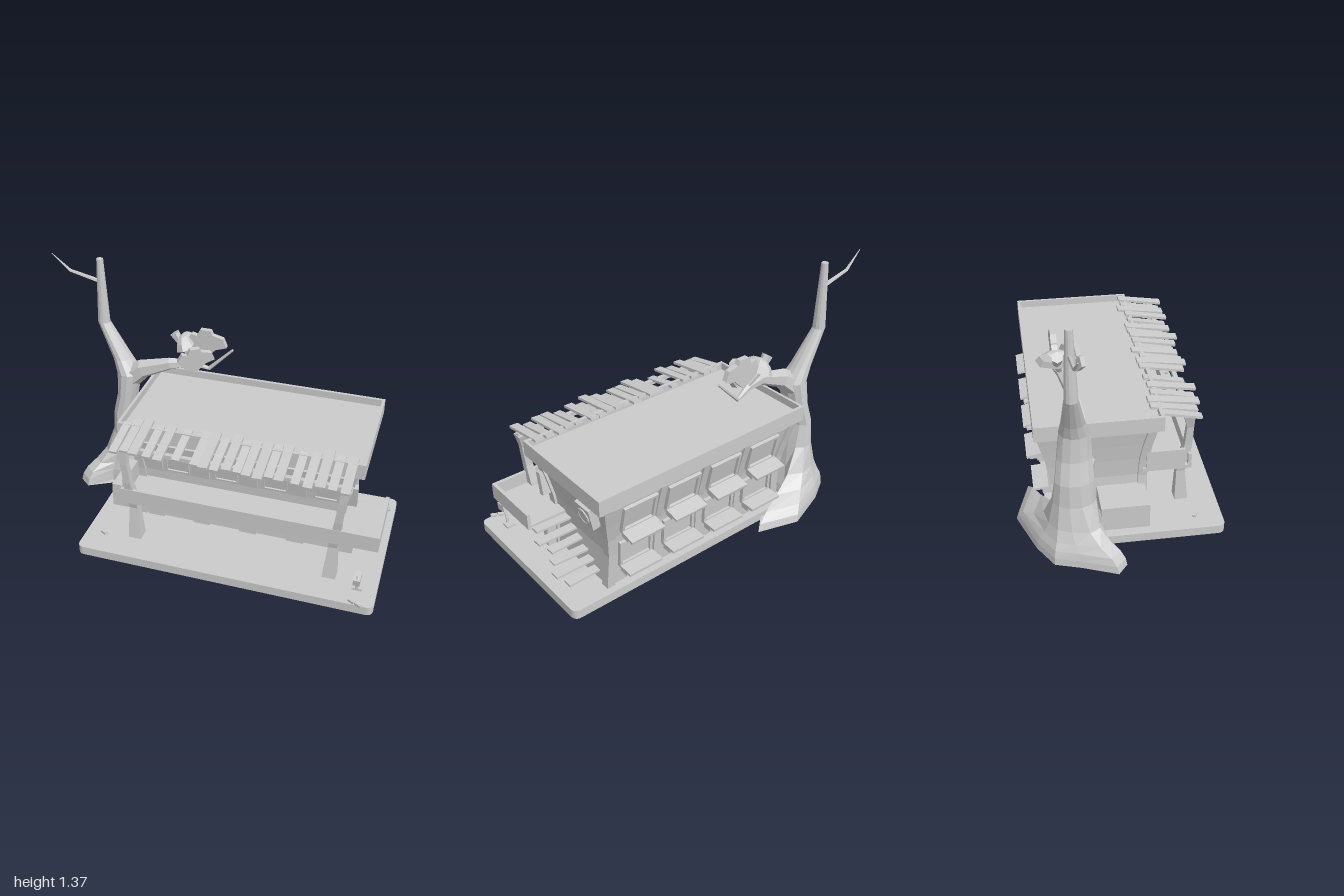
import * as THREE from 'three';

const mat = new THREE.MeshStandardMaterial({ color: 0xcccccc, flatShading: true, side: THREE.DoubleSide });

function add(parent, name, geo, pos = [0, 0, 0], rot = [0, 0, 0]) {
  const m = new THREE.Mesh(geo, mat);
  m.name = name;
  m.position.set(...pos);
  m.rotation.set(...rot);
  parent.add(m);
  return m;
}

// Box given by its min and max on each axis
function span(parent, name, x0, x1, y0, y1, z0, z1) {
  return add(parent, name, new THREE.BoxGeometry(x1 - x0, y1 - y0, z1 - z0),
    [(x0 + x1) / 2, (y0 + y1) / 2, (z0 + z1) / 2]);
}

// Capped skin over rings of equally many points
function loft(rings) {
  const n = rings[0].length, idx = [], last = (rings.length - 1) * n;
  for (let i = 0; i < rings.length - 1; i++)
    for (let j = 0; j < n; j++) {
      const a = i * n + j, b = i * n + (j + 1) % n;
      idx.push(a, a + n, b, b, a + n, b + n);
    }
  for (let j = 1; j < n - 1; j++) idx.push(0, j, j + 1, last, last + j + 1, last + j);
  const g = new THREE.BufferGeometry();
  g.setAttribute('position', new THREE.Float32BufferAttribute(rings.flat(2), 3));
  g.setIndex(idx);
  const flat = g.toNonIndexed();
  flat.computeVertexNormals();
  return flat;
}

// Tapered limb through points [x, y, z, radius]
function limb(pts, sides = 6) {
  const v = pts.map(p => new THREE.Vector3(p[0], p[1], p[2]));
  return loft(pts.map((p, i) => {
    const t = v[Math.min(i + 1, v.length - 1)].clone().sub(v[Math.max(i - 1, 0)]).normalize();
    const u = new THREE.Vector3(0, 0, 1).cross(t).normalize();
    const w = u.clone().cross(t);
    return Array.from({ length: sides }, (_, j) => {
      const a = j / sides * Math.PI * 2;
      return v[i].clone().addScaledVector(u, Math.cos(a) * p[3]).addScaledVector(w, Math.sin(a) * p[3]).toArray();
    });
  }));
}

const rect = (x0, x1, y, z0, z1) => [[x1, y, z0], [x1, y, z1], [x0, y, z1], [x0, y, z0]];

// Flared wall outline: y, x min, x max, z min, z max
const wall = [
  [0.05, -0.37, 0.765, -0.34, 0.14], [0.25, -0.36, 0.755, -0.352, 0.135],
  [0.36, -0.37, 0.765, -0.365, 0.14], [0.46, -0.385, 0.785, -0.388, 0.155], [0.6, -0.41, 0.815, -0.425, 0.185]];

function building() {
  const g = new THREE.Group();
  g.name = 'building';
  add(g, 'walls', loft(wall.map(([y, a, b, c, d]) => rect(a, b, y, c, d))));
  // Corner columns follow the flare
  for (const sx of [0, 1]) for (const sz of [0, 1])
    add(g, 'cornerColumn', loft(wall.map(([y, a, b, c, d]) => {
      const x = sx ? b - 0.01 : a + 0.01, z = sz ? d - 0.012 : c + 0.012;
      return rect(x - 0.024, x + 0.024, y, z - 0.024, z + 0.024);
    })));
  // Slim ribs between the back windows
  for (let i = 0; i < 3; i++) {
    const x = -0.07 + i * 0.271;
    add(g, 'backRib', loft(wall.map(([y, , , c]) => rect(x - 0.02, x + 0.02, y, c - 0.014, c + 0.01))));
  }
  // Roof deck with raised rim
  span(g, 'roofDeck', -0.455, 0.855, 0.59, 0.635, -0.435, 0.205);
  span(g, 'roofUnderside', -0.43, 0.83, 0.565, 0.59, -0.42, 0.185);
  span(g, 'parapet', -0.46, 0.86, 0.59, 0.675, 0.197, 0.215);
  span(g, 'parapet', -0.46, 0.86, 0.59, 0.675, -0.443, -0.425);
  span(g, 'parapet', -0.46, -0.445, 0.59, 0.675, -0.443, 0.215);
  span(g, 'parapet', 0.845, 0.86, 0.59, 0.675, -0.443, 0.215);
  // Round vent on the side wall
  const vent = new THREE.Group();
  vent.name = 'vent';
  vent.position.set(0.81, 0.487, -0.267);
  vent.rotation.z = -0.2;
  add(vent, 'ventBox', new THREE.BoxGeometry(0.05, 0.125, 0.115));
  add(vent, 'ventRing', new THREE.TorusGeometry(0.041, 0.006, 6, 20), [0.026, 0, 0], [0, Math.PI / 2, 0]);
  add(vent, 'ventFan', new THREE.CylinderGeometry(0.034, 0.034, 0.012, 16), [0.024, 0, 0], [0, 0, Math.PI / 2]);
  g.add(vent);
  span(g, 'sideShed', -0.55, -0.36, 0.05, 0.195, -0.12, 0.135);
  return g;
}

// Framed window leaning with the wall; back windows get sills and ledges
function windowUnit(x, y, z, w, h, tilt, back) {
  const g = new THREE.Group();
  g.name = back ? 'backWindow' : 'frontWindow';
  g.position.set(x, y, z);
  g.rotation.set(tilt, back ? Math.PI : 0, 0, 'YXZ');
  const t = back ? 0.016 : 0.007, d = back ? 0.03 : 0.02;
  add(g, 'pane', new THREE.BoxGeometry(w, h, 0.012));
  for (const s of [-1, 1]) {
    add(g, 'frameSide', new THREE.BoxGeometry(t, h, d), [s * (w - t) / 2, 0, 0.005]);
    add(g, 'frameRail', new THREE.BoxGeometry(w, t, d), [0, s * (h - t) / 2, 0.005]);
  }
  if (back) {
    add(g, 'sill', new THREE.BoxGeometry(w, 0.014, 0.1), [0, -h / 2 + 0.002, 0.052]);
    add(g, 'lowerLedge', new THREE.BoxGeometry(w * 0.86, 0.034, 0.05), [0, -h / 2 - 0.026, 0.03]);
  } else {
    const s = new THREE.Shape([[-0.03, 0], [0, -0.022], [0.03, 0]].map(p => new THREE.Vector2(...p)));
    add(g, 'pennant', new THREE.ExtrudeGeometry(s, { depth: 0.01, bevelEnabled: false }), [0, h / 2 - 0.015, 0.012]);
  }
  return g;
}

function tree() {
  const g = new THREE.Group();
  g.name = 'tree';
  // Root outline on the ground, blended into the trunk
  const roots = [[-0.45, -0.2], [-0.46, -0.06], [-0.56, -0.1], [-0.66, -0.12], [-0.78, -0.02], [-0.84, -0.07],
    [-0.77, -0.25], [-0.73, -0.38], [-0.6, -0.46], [-0.36, -0.55], [-0.13, -0.48], [-0.43, -0.38]];
  const trunk = [ // y, x, z, x radius, z radius, root share
    [0.02, -0.6, -0.26, 0.1, 0.12, 1], [0.06, -0.6, -0.26, 0.1, 0.12, 0.95], [0.1, -0.6, -0.26, 0.1, 0.12, 0.8],
    [0.14, -0.6, -0.26, 0.1, 0.12, 0.5], [0.2, -0.6, -0.26, 0.09, 0.12, 0.22], [0.33, -0.6, -0.26, 0.075, 0.11, 0.03],
    [0.46, -0.61, -0.26, 0.062, 0.1, 0], [0.58, -0.585, -0.255, 0.058, 0.09, 0], [0.72, -0.57, -0.25, 0.07, 0.078, 0],
    [0.8, -0.61, -0.26, 0.053, 0.06, 0], [1.0, -0.717, -0.275, 0.035, 0.035, 0], [1.37, -0.72, -0.278, 0.019, 0.019, 0]];
  add(g, 'trunk', loft(trunk.map(([y, x, z, rx, rz, k]) => roots.map(([px, pz], j) => {
    const a = 0.3 + j * Math.PI / 6;
    return [(x + rx * Math.cos(a)) * (1 - k) + px * k, y, (z + rz * Math.sin(a)) * (1 - k) + pz * k];
  }))));
  add(g, 'twig', limb([[-0.72, 1.235, -0.278, 0.012], [-0.9, 1.28, -0.275, 0.009], [-1, 1.37, -0.27, 0.002]], 5));
  add(g, 'lowerBranch', limb([[-0.6, 0.42, -0.25, 0.055], [-0.5, 0.4, -0.2, 0.045], [-0.39, 0.385, -0.16, 0.035]]));
  add(g, 'mainBranch', limb([[-0.56, 0.69, -0.25, 0.07], [-0.48, 0.755, -0.24, 0.055], [-0.32, 0.81, -0.245, 0.035],
    [-0.2, 0.815, -0.28, 0.02], [-0.11, 0.785, -0.3, 0.012], [0.025, 0.92, -0.3, 0.007]]));
  add(g, 'offshoot', limb([[-0.2, 0.83, -0.28, 0.014], [-0.26, 0.9, -0.3, 0.018], [-0.31, 0.975, -0.3, 0.03]]));
  // Fan-shaped leaf clumps
  const fan = new THREE.Shape();
  fan.moveTo(0, 0);
  for (const [x, y] of [[-0.07, 0.04], [-0.11, 0.09], [-0.08, 0.14], [-0.05, 0.13], [-0.03, 0.17], [0.03, 0.17],
    [0.04, 0.145], [0.1, 0.13], [0.12, 0.08], [0.06, 0.06]]) fan.lineTo(x, y);
  const leaf = new THREE.ExtrudeGeometry(fan, { depth: 0.03, bevelEnabled: false });
  add(g, 'leafClump', leaf, [-0.13, 0.85, -0.32]);
  add(g, 'leafClump', leaf, [-0.17, 0.8, -0.23], [0.1, 0.5, 0]).scale.setScalar(0.9);
  add(g, 'leafCap', new THREE.SphereGeometry(0.11, 7, 3, 0, Math.PI * 2, 0, 1.3), [-0.23, 0.89, -0.3], [0, 0, 0.35])
    .scale.set(0.5, 0.85, 1);
  return g;
}

export function createModel() {
  const root = new THREE.Group();
  root.name = 'treeHouseLodge';

  // Base slab with rounded corners
  const s = new THREE.Shape(), r = 0.035;
  s.absarc(1 - r, 0.39 - r, r, 0, Math.PI / 2);
  s.absarc(-0.6 + r, 0.39 - r, r, Math.PI / 2, Math.PI);
  s.absarc(-0.6 + r, -0.53 + r, r, Math.PI, Math.PI * 1.5);
  s.absarc(1 - r, -0.53 + r, r, Math.PI * 1.5, Math.PI * 2);
  add(root, 'base', new THREE.ExtrudeGeometry(s, { depth: 0.05, bevelEnabled: false, curveSegments: 4 }),
    [0, 0, 0], [-Math.PI / 2, 0, 0]);
  root.add(building(), tree());

  // Back and front windows on both floors
  for (let i = 0; i < 4; i++) {
    root.add(windowUnit(-0.205 + i * 0.271, 0.24, -0.353, 0.2, 0.15, 0.06, true));
    root.add(windowUnit(-0.205 + i * 0.271, 0.475, -0.393, 0.2, 0.16, 0.22, true));
    root.add(windowUnit(-0.145 + i * 0.271, 0.16, 0.135, 0.13, 0.12, 0, false));
    root.add(windowUnit(-0.145 + i * 0.271, 0.435, 0.152, 0.13, 0.11, 0.18, false));
  }
  // Piers between the front windows
  for (let i = 0; i < 5; i++) {
    const x = -0.28 + i * 0.265;
    span(root, 'lowerPier', x - 0.048, x + 0.048, 0.05, 0.235, 0.115, 0.152);
    add(root, 'upperPier', new THREE.BoxGeometry(0.095, 0.13, 0.035), [x, 0.435, 0.148], [0.18, 0, 0]);
  }
  add(root, 'lintel', new THREE.BoxGeometry(1.14, 0.05, 0.03), [0.2, 0.535, 0.17], [0.18, 0, 0]);

  // Balcony with solid railings
  span(root, 'balconyFloor', -0.39, 0.975, 0.285, 0.305, 0.12, 0.375);
  span(root, 'landingFloor', 0.75, 0.975, 0.285, 0.305, 0.03, 0.15);
  span(root, 'frontRailing', -0.39, 0.98, 0.287, 0.375, 0.362, 0.38);
  span(root, 'sideRailing', 0.962, 0.98, 0.287, 0.375, 0.03, 0.38);
  span(root, 'endRailing', -0.392, -0.375, 0.29, 0.41, 0.14, 0.345);

  // Crooked porch posts, spreading towards the top: y, z, half width, spread
  const post = [[0.05, 0.34, 0.036, 0.535], [0.24, 0.332, 0.023, 0.54], [0.32, 0.345, 0.026, 0.55],
    [0.42, 0.362, 0.02, 0.56], [0.54, 0.367, 0.018, 0.572], [0.62, 0.355, 0.028, 0.585]];
  for (const side of [-1, 1])
    add(root, 'porchPost', loft(post.map(([y, z, h, d]) => {
      const x = 0.21 + side * d;
      return rect(x - h, x + h, y, z - h, z + h);
    })));
  add(root, 'awningBeam', new THREE.BoxGeometry(1.2, 0.022, 0.025), [0.22, 0.622, 0.355]);

  // Uneven awning planks
  const planks = [-0.405, -0.35, -0.295, -0.225, -0.16, -0.075, 0.03, 0.08, 0.135, 0.195, 0.25, 0.3,
    0.36, 0.41, 0.465, 0.545, 0.61, 0.67, 0.73, 0.795];
  planks.forEach((x, i) => {
    const k = (i * 7) % 5 - 2;
    add(root, 'awningPlank', new THREE.BoxGeometry(0.046 + 0.002 * k, 0.014, 0.25 + 0.012 * k),
      [x, 0.655 + 0.003 * k, 0.295 - 0.008 * ((i * 3) % 4 - 1)], [0.17 - 0.015 * k, 0.004 * k, 0.02 * k]);
  });

  // Floating stair treads up to the landing
  for (let i = 0; i < 6; i++)
    add(root, 'stairTread', new THREE.BoxGeometry(0.18 + 0.02 * ((i * 2) % 3), 0.011, 0.05),
      [0.85 + 0.01 * ((i * 2) % 3), 0.1 + i * 0.037, -0.24 + i * 0.049], [0, 0, 0.03 * (i % 3 - 1)]);

  // Small letterbox on a bent stick
  const box = new THREE.Group();
  box.name = 'letterbox';
  add(box, 'stick', limb([[0.9, 0.05, 0.415, 0.009], [0.9, 0.09, 0.42, 0.007], [0.9, 0.14, 0.435, 0.007]], 5));
  add(box, 'box', new THREE.BoxGeometry(0.035, 0.04, 0.065), [0.9, 0.152, 0.445], [0.2, 0, 0]);
  add(box, 'flag', new THREE.BoxGeometry(0.006, 0.025, 0.008), [0.9, 0.175, 0.465]);
  add(box, 'foot', new THREE.BoxGeometry(0.05, 0.012, 0.045), [0.9, 0.056, 0.4]);
  root.add(box);

  // Loose stones
  for (const [x, z] of [[-0.5, 0.385], [0.89, 0.51], [0.925, 0.525]])
    add(root, 'stone', new THREE.BoxGeometry(0.034, 0.014, 0.02), [x, 0.055, z], [0, -0.5, 0]);
  return root;
}
